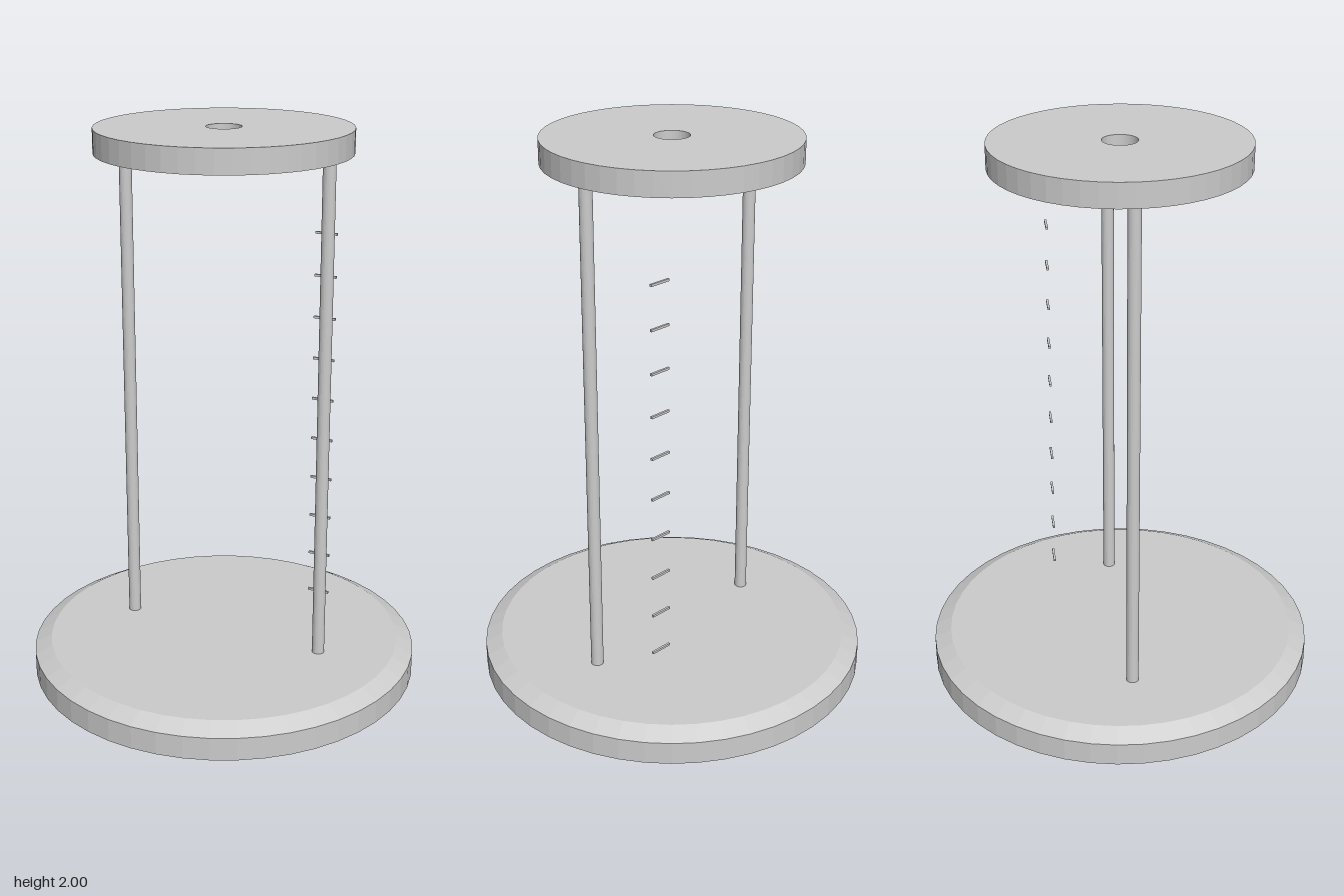
import * as THREE from 'three';

export function createModel() {
  const group = new THREE.Group();
  const grey = new THREE.MeshStandardMaterial({ color: 0xcccccc, flatShading: true });
  grey.name = 'plain grey';

  const add = (name, geometry, x = 0, y = 0, z = 0) => {
    const mesh = new THREE.Mesh(geometry, grey);
    mesh.name = name;
    mesh.position.set(x, y, z);
    group.add(mesh);
  };
  const lathe = (points) =>
    new THREE.LatheGeometry(points.map(([r, y]) => new THREE.Vector2(r, y)), 48);

  // Round base with chamfered upper and lower rims
  add('base', lathe([[0, 0], [0.635, 0], [0.695, 0.035], [0.695, 0.118], [0.635, 0.15], [0, 0.15]]));

  // Top disc with a hole through its centre
  add('topPlate', lathe([[0.06, 1.917], [0.433, 1.917], [0.433, 2], [0.06, 2], [0.06, 1.917]]));

  // Two upright rods joining base and top
  for (const side of [-1, 1]) {
    add(side > 0 ? 'leftRod' : 'rightRod',
      new THREE.CylinderGeometry(0.022, 0.022, 1.767, 24), side * 0.378, 1.0335, 0);
  }

  // Column of thin scale marks
  const mark = new THREE.BoxGeometry(0.08, 0.008, 0.008);
  for (let i = 0; i < 10; i++) {
    add('scaleMark' + (i + 1), mark, 0.28, 0.27 + i * 0.1505, -0.226);
  }
  return group;
}
